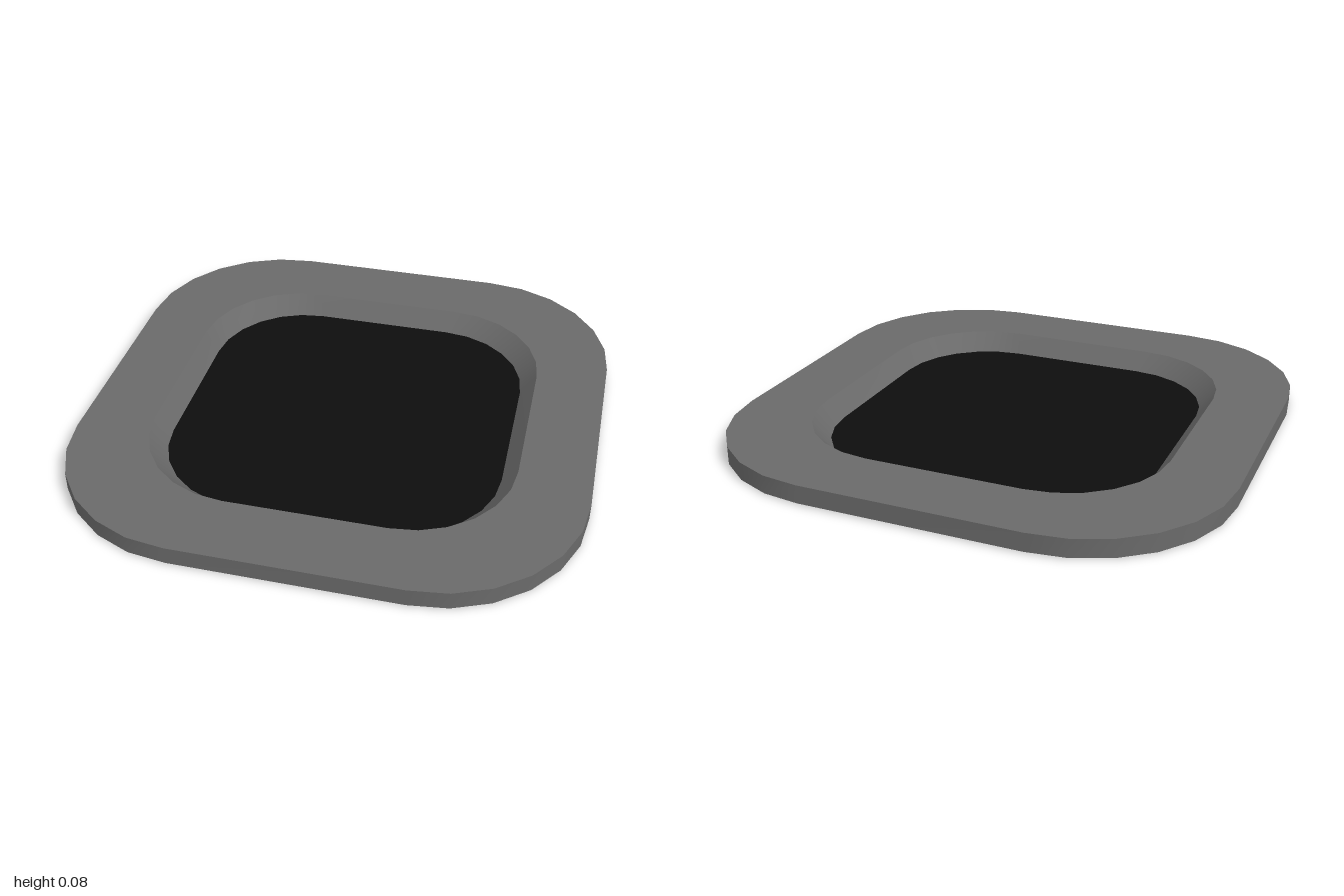
import * as THREE from 'three';

const STRAIGHT = 0.43; // half length of the straight sides
const STEPS = 6;       // segments per rounded corner

// Rounded-square outline, counter-clockwise seen from above
function outline(size) {
  const points = [];
  for (let corner = 0; corner < 4; corner++) {
    const mid = Math.PI / 4 + corner * Math.PI / 2;
    const cx = Math.sign(Math.cos(mid)) * STRAIGHT;
    const cy = Math.sign(Math.sin(mid)) * STRAIGHT;
    for (let i = 0; i <= STEPS; i++) {
      const a = (corner + i / STEPS) * Math.PI / 2;
      const r = 1 - STRAIGHT;
      points.push(new THREE.Vector2(cx + r * Math.cos(a), cy + r * Math.sin(a)).multiplyScalar(size));
    }
  }
  return points;
}

// Closed band between two outlines, each given as [size, height]
function band([sizeA, yA], [sizeB, yB]) {
  const a = outline(sizeA), b = outline(sizeB), n = a.length;
  const positions = [], index = [];
  a.forEach(p => positions.push(p.x, yA, -p.y));
  b.forEach(p => positions.push(p.x, yB, -p.y));
  for (let i = 0; i < n; i++) {
    const j = (i + 1) % n;
    index.push(i, j, n + j, i, n + j, n + i);
  }
  const geometry = new THREE.BufferGeometry();
  geometry.setAttribute('position', new THREE.Float32BufferAttribute(positions, 3));
  geometry.setIndex(index);
  geometry.computeVertexNormals();
  return geometry;
}

export function createModel() {
  const model = new THREE.Group();
  model.name = 'recessedPanel';
  const frame = new THREE.MeshStandardMaterial({ color: 0x6a6a6a, side: THREE.DoubleSide });
  const dark = new THREE.MeshStandardMaterial({ color: 0x0d0d0d, side: THREE.DoubleSide });
  const add = (name, geometry, material) => {
    const mesh = new THREE.Mesh(geometry, material);
    mesh.name = name;
    model.add(mesh);
  };

  // Thin shell, open underneath: outer wall, flat rim, sloping recess
  add('outerWall', band([1, 0.004], [1, 0.075]), frame);
  add('topRim', band([1, 0.075], [0.72, 0.075]), frame);
  add('recessSlope', band([0.72, 0.075], [0.66, 0]), frame);

  // Dark floor of the recess
  add('recessFloor', new THREE.ShapeGeometry(new THREE.Shape(outline(0.66))).rotateX(-Math.PI / 2), dark);
  return model;
}
